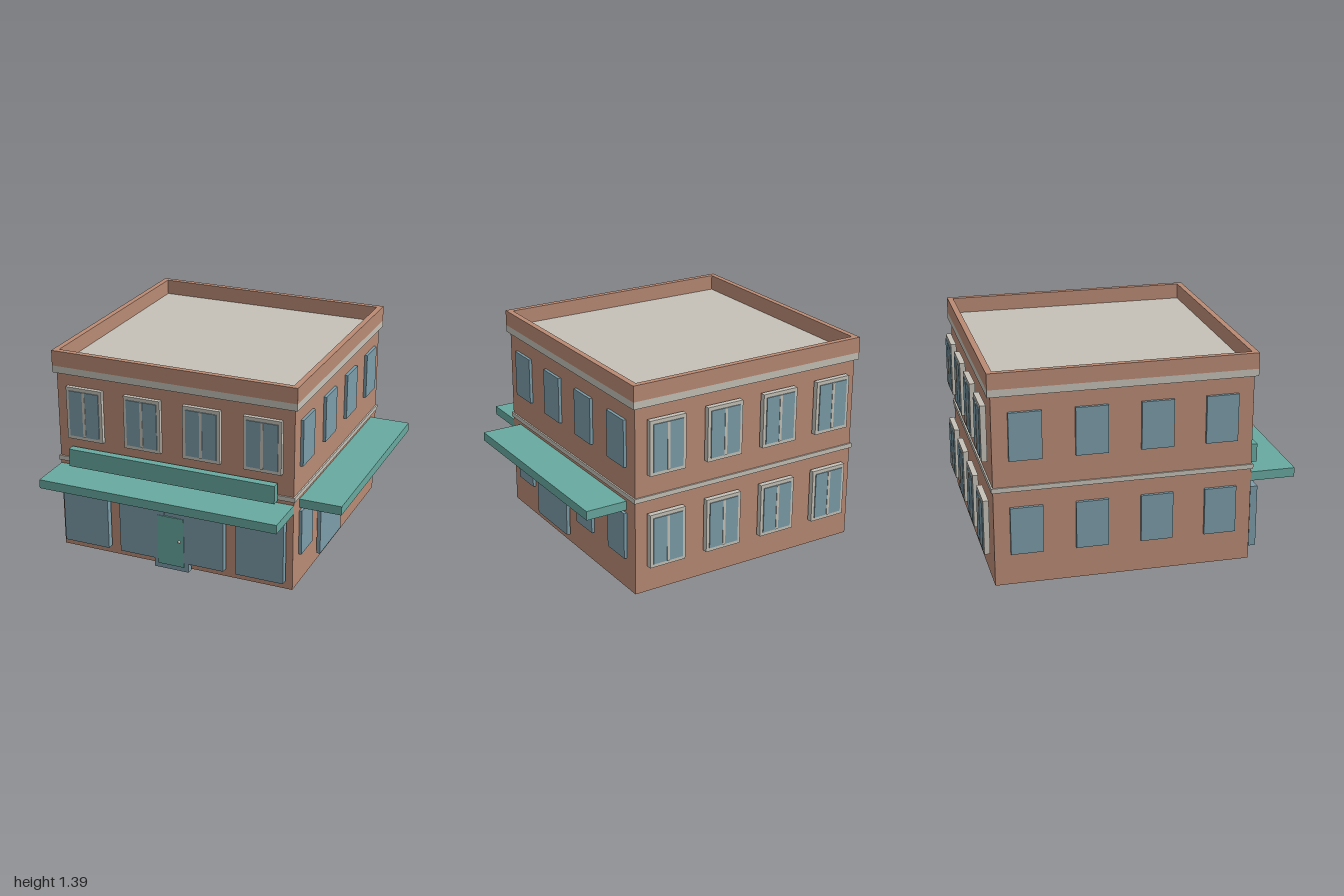
import * as THREE from 'three';

const mat = (name, color) => {
  const m = new THREE.MeshStandardMaterial({ color });
  m.name = name;
  return m;
};

export function createModel() {
  const brick = mat('brick', 0xb98a74);
  const stone = mat('stone', 0xc5c1b7);
  const glass = mat('glass', 0x7b9ca8);
  const teal = mat('teal', 0x68a9a0);

  const model = new THREE.Group();
  model.name = 'shopBuilding';

  // Box given by its limits on each axis
  const box = (name, material, [x0, x1], [y0, y1], [z0, z1], parent = model) => {
    const mesh = new THREE.Mesh(new THREE.BoxGeometry(x1 - x0, y1 - y0, z1 - z0), material);
    mesh.position.set((x0 + x1) / 2, (y0 + y1) / 2, (z0 + z1) / 2);
    mesh.name = name;
    parent.add(mesh);
    return mesh;
  };
  const around = (c, half) => [c - half, c + half];

  // Building centre and half width of the square walls
  const cx = -0.132, cz = -0.116, half = 0.824;
  const left = cx + half, right = cx - half, front = cz + half, back = cz - half;
  const bays = [-0.62, -0.207, 0.207, 0.62];

  // Walls, string course and roof slab
  box('walls', brick, [right, left], [0, 1.245], [back, front]);
  box('stringCourse', stone, around(cx, half + 0.01), [0.625, 0.656], around(cz, half + 0.01));
  const top = half + 0.021;
  box('roofSlab', stone, around(cx, top), [1.245, 1.292], around(cz, top));

  // Parapet ring with an open middle
  const square = (ShapeType, h) => new ShapeType([
    new THREE.Vector2(-h, -h), new THREE.Vector2(h, -h),
    new THREE.Vector2(h, h), new THREE.Vector2(-h, h),
  ]);
  const ring = square(THREE.Shape, top);
  ring.holes.push(square(THREE.Path, top - 0.038));
  const parapetGeometry = new THREE.ExtrudeGeometry(ring, { depth: 0.103, bevelEnabled: false });
  parapetGeometry.rotateX(-Math.PI / 2);
  const parapet = new THREE.Mesh(parapetGeometry, brick);
  parapet.name = 'parapet';
  parapet.position.set(cx, 1.292, cz);
  model.add(parapet);

  // Framed double window facing +z, with its back at z = 0
  const framedWindow = (depth) => {
    const g = new THREE.Group();
    g.name = 'framedWindow';
    box('windowFrame', stone, around(0, 0.128), around(0, 0.18), [0, depth], g);
    box('windowGlass', glass, around(0, 0.106), around(0, 0.156), [0.004, depth + 0.006], g);
    box('windowMullion', stone, around(0, 0.009), around(0, 0.156), [0.006, depth + 0.009], g);
    return g;
  };

  for (const y of [0.364, 0.983]) {
    for (const b of bays) {
      // Front and back windows
      const f = framedWindow(0.028);
      f.position.set(cx + b, y, front);
      const r = framedWindow(0.036);
      r.position.set(cx + b, y, back - 0.015);
      r.rotation.y = Math.PI;
      model.add(f, r);

      // Plain panes on both sides
      box('leftPane', glass, [left - 0.01, left + 0.02], around(y, 0.155), around(cz + b, 0.103));
      box('rightPane', glass, [right - 0.02, right + 0.01], around(y, 0.155), around(cz + b, 0.103));
    }
  }

  // Shop windows on the front and one on the left side
  for (const b of bays) {
    box('shopWindow', glass, around(cx + b, 0.163), [0.065, 0.48], [0.724, 0.77]);
  }
  box('sideShopWindow', glass, [left + 0.012, left + 0.037], [0.065, 0.48], [-0.115, 0.296]);

  // Door
  box('doorSurround', glass, around(cx, 0.122), [0, 0.415], [0.724, 0.764]);
  box('door', teal, around(cx, 0.093), [0.035, 0.385], [0.73, 0.774]);
  const knob = new THREE.Mesh(new THREE.SphereGeometry(0.01, 12, 8), stone);
  knob.name = 'doorKnob';
  knob.position.set(-0.07, 0.22, 0.776);
  model.add(knob);

  // Awnings and the blank sign board
  box('frontAwning', teal, [right, left], [0.54, 0.6], [front, 1]);
  box('sideAwning', teal, [left, 0.972], [0.54, 0.6], [-0.838, 0.606]);
  box('signBoard', teal, around(cx, 0.722), [0.623, 0.745], [0.728, 0.781]);

  return model;
}
